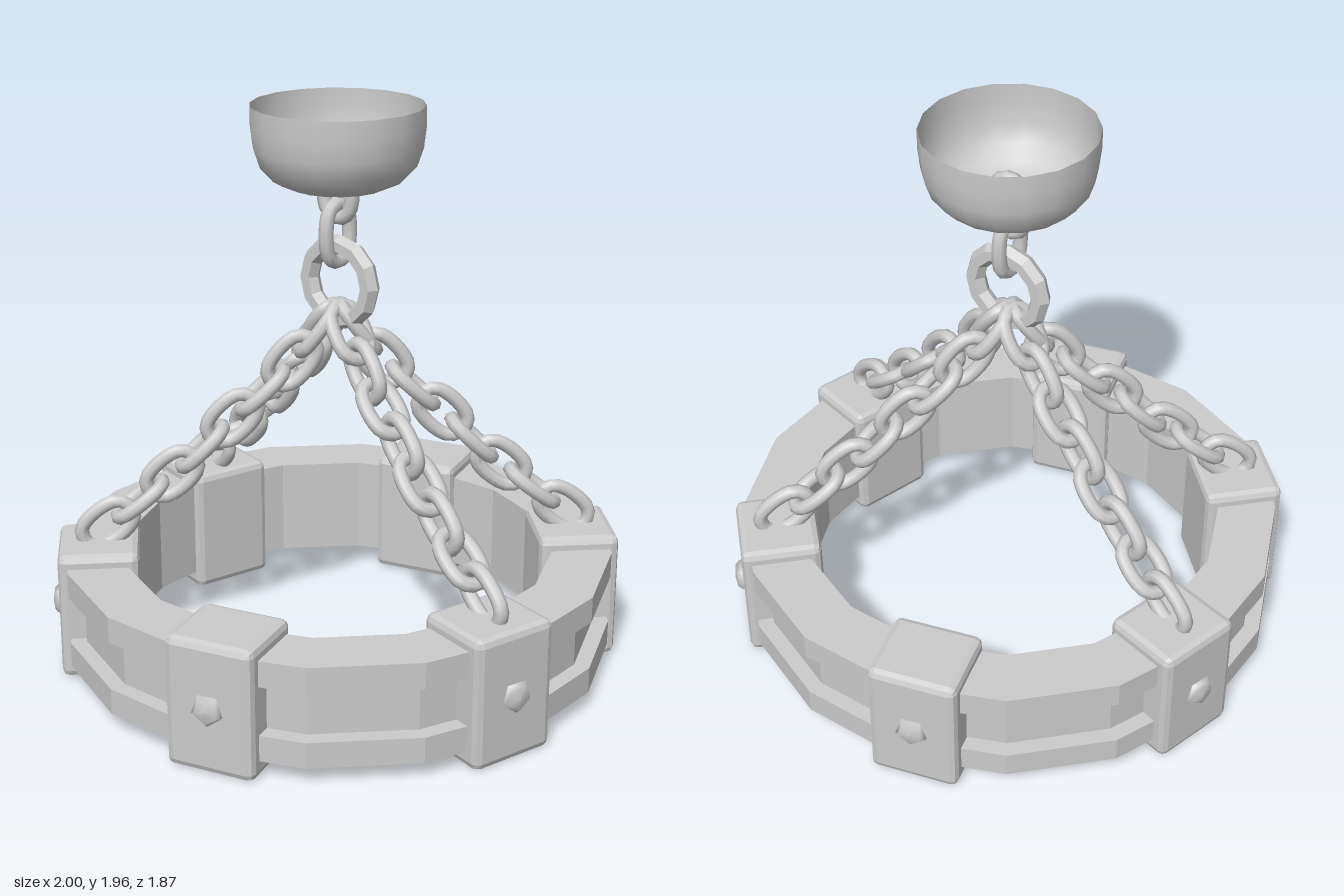
import * as THREE from 'three';
import { RoundedBoxGeometry } from 'three/addons/geometries/RoundedBoxGeometry.js';

const smooth = new THREE.MeshStandardMaterial({ color: 0xcccccc });
const flat = new THREE.MeshStandardMaterial({ color: 0xcccccc, flatShading: true });
const shell = new THREE.MeshStandardMaterial({ color: 0xcccccc, side: THREE.DoubleSide });

const points = (list) => list.map(([x, y]) => new THREE.Vector2(x, y));

function part(name, geometry, material, parent) {
  const mesh = new THREE.Mesh(geometry, material);
  mesh.name = name;
  parent.add(mesh);
  return mesh;
}

// Oval chain link, long along y and flat in the xy plane
function linkGeometry() {
  const path = [];
  for (let end = 0; end < 2; end++) {
    for (let k = 0; k <= 4; k++) {
      const a = end * Math.PI + (k / 4) * Math.PI;
      path.push(new THREE.Vector3(0.058 * Math.cos(a), 0.058 * Math.sin(a) + (end ? -0.042 : 0.042), 0));
    }
  }
  return new THREE.TubeGeometry(new THREE.CatmullRomCurve3(path, true), 20, 0.025, 8, true);
}

export function createModel() {
  const model = new THREE.Group();
  model.name = 'hangingRingLamp';

  // Sixteen-sided hoop with a groove around its outside
  const hoop = points([
    [0.75, 0.06], [0.955, 0.06], [0.955, 0.15], [0.9, 0.15], [0.9, 0.32],
    [0.955, 0.32], [0.955, 0.41], [0.75, 0.41], [0.75, 0.06],
  ]);
  part('hoop', new THREE.LatheGeometry(hoop, 16, Math.PI / 16), flat, model);

  // Six chamfered blocks, each with a five-sided stud
  const blockGeo = new RoundedBoxGeometry(0.28, 0.455, 0.31, 1, 0.025);
  const studGeo = new THREE.LatheGeometry(
    points([[0.056, -0.01], [0.056, 0.008], [0.042, 0.022], [0, 0.028]]), 5);
  studGeo.rotateY(-Math.PI / 2).rotateZ(-Math.PI / 2);
  studGeo.rotateX(Math.PI);
  for (let i = 0; i < 6; i++) {
    const holder = new THREE.Group();
    holder.name = 'holder' + (i + 1);
    holder.rotation.y = -i * Math.PI / 3;
    part('block', blockGeo, flat, holder).position.set(0.832, 0.2275, 0);
    part('stud', studGeo, smooth, holder).position.set(0.972, 0.23, 0);
    model.add(holder);
  }

  // Four sagging chains; every second link is turned a quarter
  const linkGeo = linkGeometry();
  const sag = new THREE.CatmullRomCurve3(
    [[0.8, 0.51], [0.57, 0.69], [0.43, 0.82], [0.3, 0.945], [0.16, 1.08], [0.07, 1.2]]
      .map(([x, y]) => new THREE.Vector3(x, y, 0)));
  [0, 60, 180, 240].forEach((degrees, n) => {
    const chain = new THREE.Group();
    chain.name = 'chain' + (n + 1);
    chain.rotation.y = -THREE.MathUtils.degToRad(degrees);
    for (let i = 0; i < 8; i++) {
      const t = sag.getTangentAt(i / 7);
      const link = part('chainLink', linkGeo, smooth, chain);
      link.position.copy(sag.getPointAt(i / 7));
      link.rotation.set(0, (i % 2) * Math.PI / 2, Math.atan2(-t.x, t.y), 'ZYX');
    }
    model.add(chain);
  });

  // Large ring joining the chains, and two links up to the cup
  const ring = part('gatheringRing', new THREE.TorusGeometry(0.13, 0.035, 6, 12), flat, model);
  ring.position.set(0.005, 1.36, 0.005);
  ring.rotation.y = -Math.PI / 4;
  [1.53, 1.68].forEach((y, i) => {
    const link = part('topLink', linkGeo, smooth, model);
    link.position.y = y;
    link.rotation.y = i ? -Math.PI / 4 : Math.PI / 4;
  });

  // Open ceiling cup
  const cup = points([
    [0, 1.67], [0.08, 1.673], [0.16, 1.688], [0.22, 1.715],
    [0.262, 1.76], [0.282, 1.82], [0.29, 1.89], [0.29, 1.96],
  ]);
  part('ceilingCup', new THREE.LatheGeometry(cup, 18), shell, model);

  return model;
}
